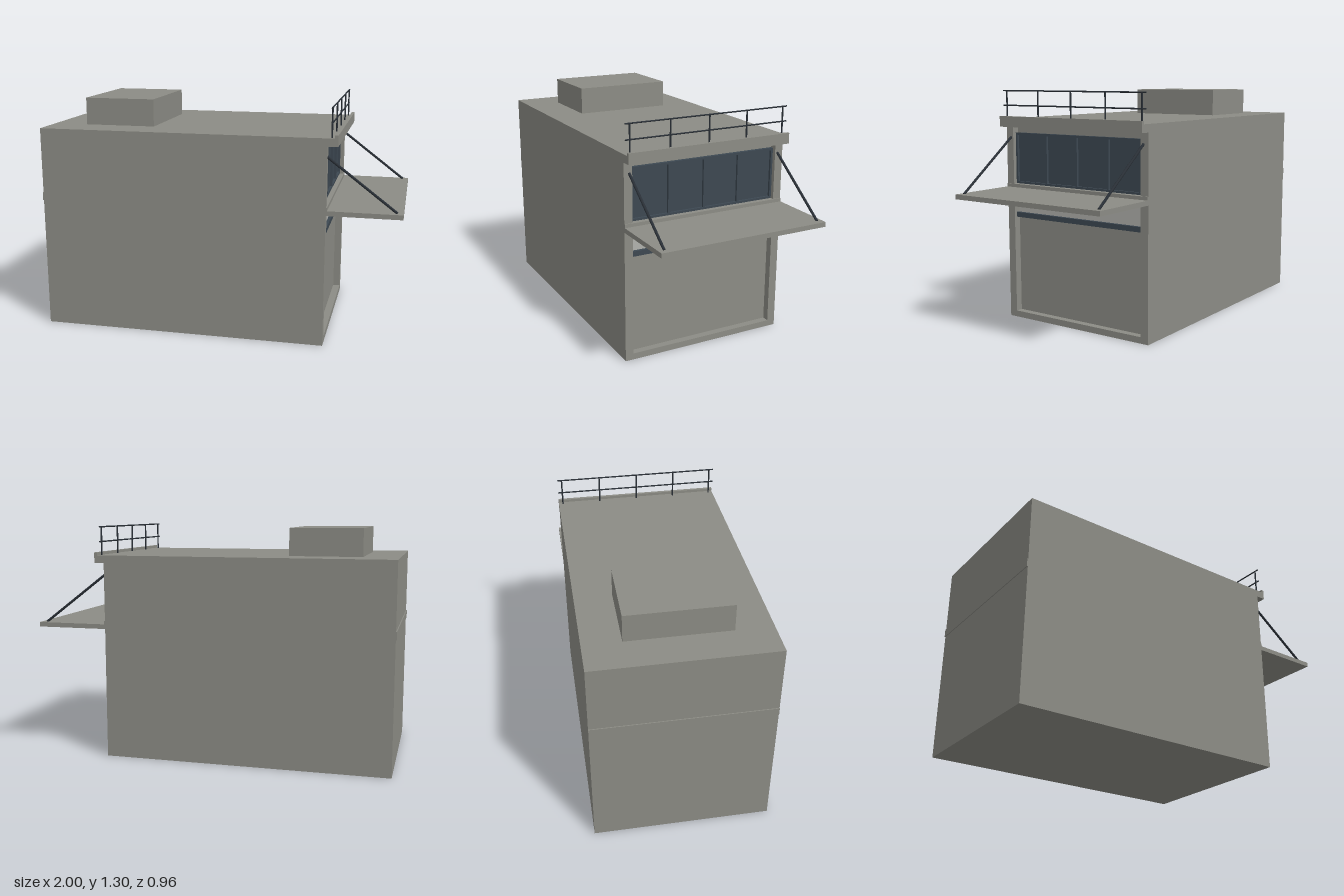
import * as THREE from 'three';

export function createModel() {
  const model = new THREE.Group();
  const mat = (name, color) => {
    const m = new THREE.MeshStandardMaterial({ color });
    m.name = name;
    return m;
  };
  const concrete = mat('concrete grey', 0x8c8c85);
  const glass = mat('blue grey glazing', 0x3d4852);
  const pale = mat('pale panel', 0xb1b2ad);
  const metal = mat('dark metal', 0x2a3037);

  // Box given by its limits on each axis
  const box = (name, m, [x0, x1], [y0, y1], [z0, z1], parent = model) => {
    const mesh = new THREE.Mesh(new THREE.BoxGeometry(x1 - x0, y1 - y0, z1 - z0), m);
    mesh.position.set((x0 + x1) / 2, (y0 + y1) / 2, (z0 + z1) / 2);
    mesh.name = name;
    parent.add(mesh);
    return mesh;
  };
  // Round bar between two points
  const bar = (name, a, b, r, parent = model) => {
    const from = new THREE.Vector3(...a), to = new THREE.Vector3(...b);
    const dir = to.clone().sub(from);
    const mesh = new THREE.Mesh(new THREE.CylinderGeometry(r, r, dir.length(), 10), metal);
    mesh.position.copy(from).add(to).multiplyScalar(0.5);
    mesh.quaternion.setFromUnitVectors(new THREE.Vector3(0, 1, 0), dir.normalize());
    mesh.name = name;
    parent.add(mesh);
  };

  const W = 0.48, J = 0.433, back = 0.56, face = 0.6;

  // Main block, ending at the back of the recessed facade
  box('body', concrete, [-0.995, back], [0, 1.14], [-W, W]);

  // Facade surround with a lower and an upper opening
  const shape = new THREE.Shape([[-W, 0], [W, 0], [W, 1.14], [-W, 1.14]].map(p => new THREE.Vector2(...p)));
  for (const [y0, y1] of [[0.035, 0.73], [0.775, 1.097]]) {
    shape.holes.push(new THREE.Path([[-J, y0], [-J, y1], [J, y1], [J, y0]].map(p => new THREE.Vector2(...p))));
  }
  const surround = new THREE.Mesh(
    new THREE.ExtrudeGeometry(shape, { depth: face - back, bevelEnabled: false }), concrete);
  surround.rotation.y = Math.PI / 2;
  surround.position.x = back;
  surround.name = 'facadeSurround';
  model.add(surround);

  // Floor slab edge showing at both ends
  box('slabEdgeFront', concrete, [face, 0.606], [0.73, 0.775], [-W, W]);
  box('slabEdgeBack', concrete, [-1, -0.995], [0.73, 0.775], [-W, W]);

  // Upper window: panes, outer frame and mullions
  const win = new THREE.Group();
  win.name = 'upperWindow';
  model.add(win);
  box('windowPane', glass, [back, 0.567], [0.776, 1.06], [-0.43, 0.43], win);
  for (const y of [0.776, 1.05]) box('windowRail', glass, [back, 0.58], [y, y + 0.012], [-0.432, 0.432], win);
  for (const z of [-0.426, -0.211, 0, 0.211, 0.426]) {
    box('windowMullion', glass, [back, 0.58], [0.776, 1.062], [z - 0.006, z + 0.006], win);
  }

  // Lower front: pale strip over a dark transom
  box('transomBacking', glass, [back, 0.563], [0.6, 0.73], [-J, J]);
  box('paleStrip', pale, [back, 0.567], [0.61, 0.725], [-0.428, 0.428]);
  box('transomBar', glass, [back, 0.584], [0.583, 0.611], [-J, J]);

  // Canopy and its two stays
  box('canopy', concrete, [face, 1], [0.73, 0.756], [-W, W]);
  for (const z of [-0.449, 0.449]) bar('canopyStay', [0.598, 1.038, z], [0.968, 0.757, z], 0.007);

  // Cornice with a raised lip
  box('cornice', concrete, [face, 0.655], [1.097, 1.14], [-W, W]);
  box('corniceLip', concrete, [0.638, 0.655], [1.14, 1.156], [-W, W]);

  // Roof railing
  const railing = new THREE.Group();
  railing.name = 'roofRailing';
  model.add(railing);
  for (const y of [1.215, 1.296]) bar('railingBar', [0.62, y, -W], [0.62, y, W], 0.004, railing);
  for (let i = -2; i <= 2; i++) bar('railingPost', [0.62, 1.138, i * 0.2275], [0.62, 1.298, i * 0.2275], 0.0045, railing);

  // Rooftop housing
  box('roofHousing', concrete, [-0.8, -0.4], [1.14, 1.292], [-0.278, 0.278]);

  return model;
}
